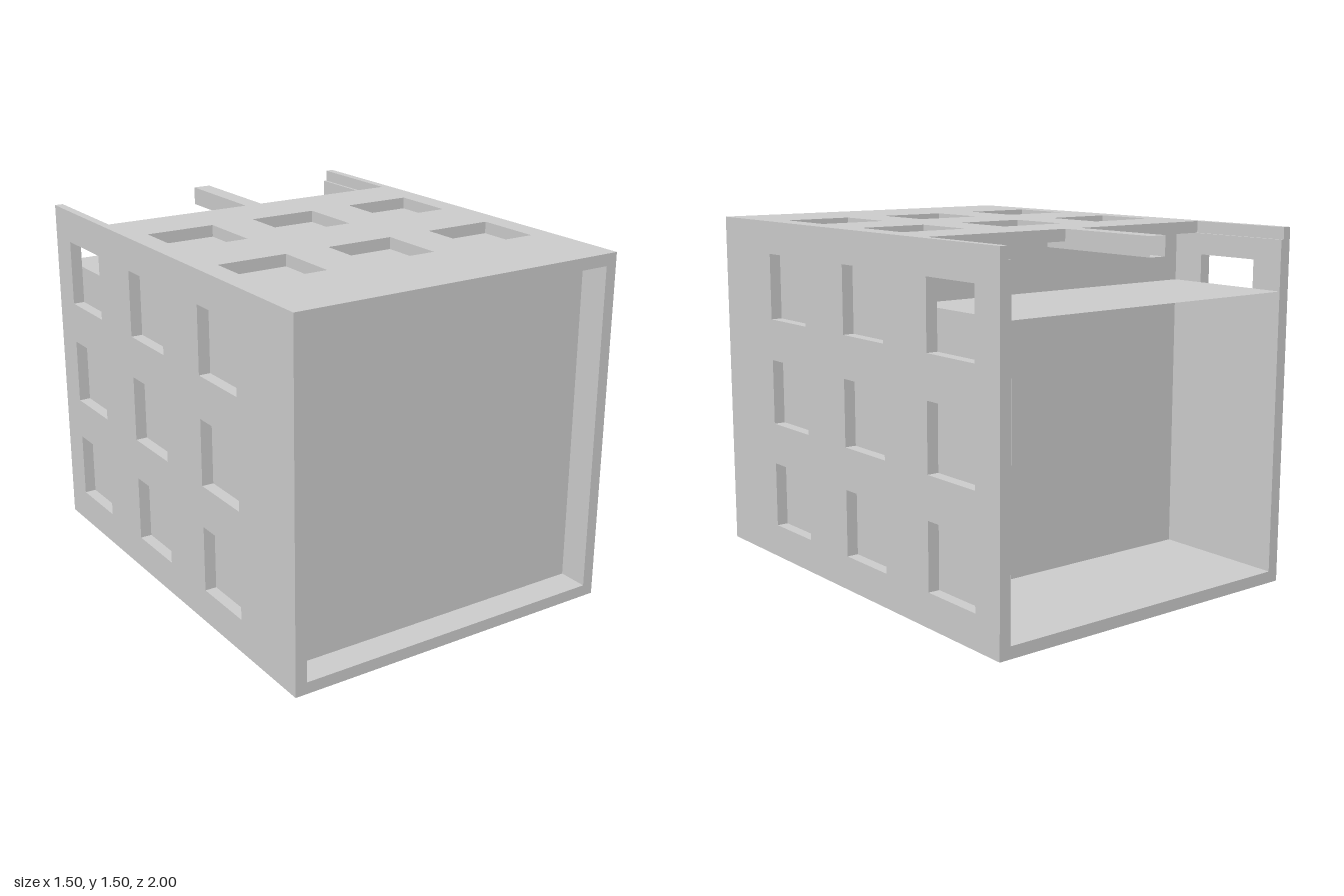
import * as THREE from 'three';

const W = 0.75, H = 1.5, T = 0.05;          // half width, height, shell thickness
const CORE_BACK = -0.41, CORE_FRONT = 0.87, SHELF = 1.24, NOTCH = -0.52;

const mat = new THREE.MeshStandardMaterial({ color: 0xcccccc, flatShading: true });
const thin = new THREE.MeshStandardMaterial({ color: 0xcccccc, flatShading: true, side: THREE.DoubleSide });

// window spans: along the depth (u = -z), the height and the width
const DEPTH = [[-0.605, -0.315], [-0.02, 0.27], [0.56, 0.855]];
const HEIGHT = [[0.145, 0.43], [0.61, 0.895], [1.075, 1.36]];
const WIDTH = [[-0.655, -0.35], [-0.152, 0.152], [0.35, 0.655]];

const rect = (x0, y0, x1, y1) => [[x0, y0], [x1, y0], [x1, y1], [x0, y1]].map(p => new THREE.Vector2(...p));

// flat panel with a grid of window holes
function panel(outline, cols, rows) {
  const shape = new THREE.Shape(outline);
  for (const [x0, x1] of cols)
    for (const [y0, y1] of rows) shape.holes.push(new THREE.Path(rect(x0, y0, x1, y1).reverse()));
  return new THREE.ExtrudeGeometry(shape, { depth: T, bevelEnabled: false });
}

export function createModel() {
  const group = new THREE.Group();
  const add = (name, geometry, material = mat) => {
    const mesh = new THREE.Mesh(geometry, material);
    mesh.name = name;
    group.add(mesh);
    return mesh;
  };

  // side walls, nine windows each
  for (const [name, x] of [['leftWall', W - T], ['rightWall', -W]]) {
    add(name, panel(rect(-1, T, 1, H - T), DEPTH, HEIGHT).rotateY(Math.PI / 2).translate(x, 0, 0));
  }

  // floor slab with nine windows
  add('floorSlab', panel(rect(-W, -1, W, 1), WIDTH, DEPTH).rotateX(-Math.PI / 2));

  // roof slab with six windows, cut open at the back
  const n = 0.713, u = -NOTCH;
  const roof = [[-W, -1], [W, -1], [W, 1], [n, 1], [n, u], [-n, u], [-n, 1], [-W, 1]]
    .map(p => new THREE.Vector2(...p));
  add('roofSlab', panel(roof, WIDTH, DEPTH.slice(0, 2)).rotateX(-Math.PI / 2).translate(0, H - T, 0));

  // solid core: recessed front panel and rear inner wall
  const inner = 2 * (W - T);
  add('core', new THREE.BoxGeometry(inner, H - 2 * T, CORE_FRONT - CORE_BACK))
    .position.set(0, H / 2, (CORE_FRONT + CORE_BACK) / 2);

  // thin lining of the rear bay, open at the back
  const bay = CORE_BACK + 1, zMid = (CORE_BACK - 1) / 2;
  for (const [name, y] of [['bayFloor', T + 0.001], ['bayShelf', SHELF]]) {
    add(name, new THREE.PlaneGeometry(inner, bay).rotateX(-Math.PI / 2), thin).position.set(0, y, zMid);
  }
  for (const [name, s] of [['leftBayLining', 1], ['rightBayLining', -1]]) {
    add(name, new THREE.PlaneGeometry(bay, SHELF - T).rotateY(-s * Math.PI / 2), thin)
      .position.set(s * (W - T - 0.001), (SHELF + T) / 2, zMid);
  }

  // hollow square bar across the roof opening
  const r = 0.04 * Math.SQRT2;
  add('roofBar', new THREE.CylinderGeometry(r, r, bay, 4, 1, true).rotateY(Math.PI / 4).rotateX(Math.PI / 2), thin)
    .position.set(0, H - 0.04, zMid);

  return group;
}
